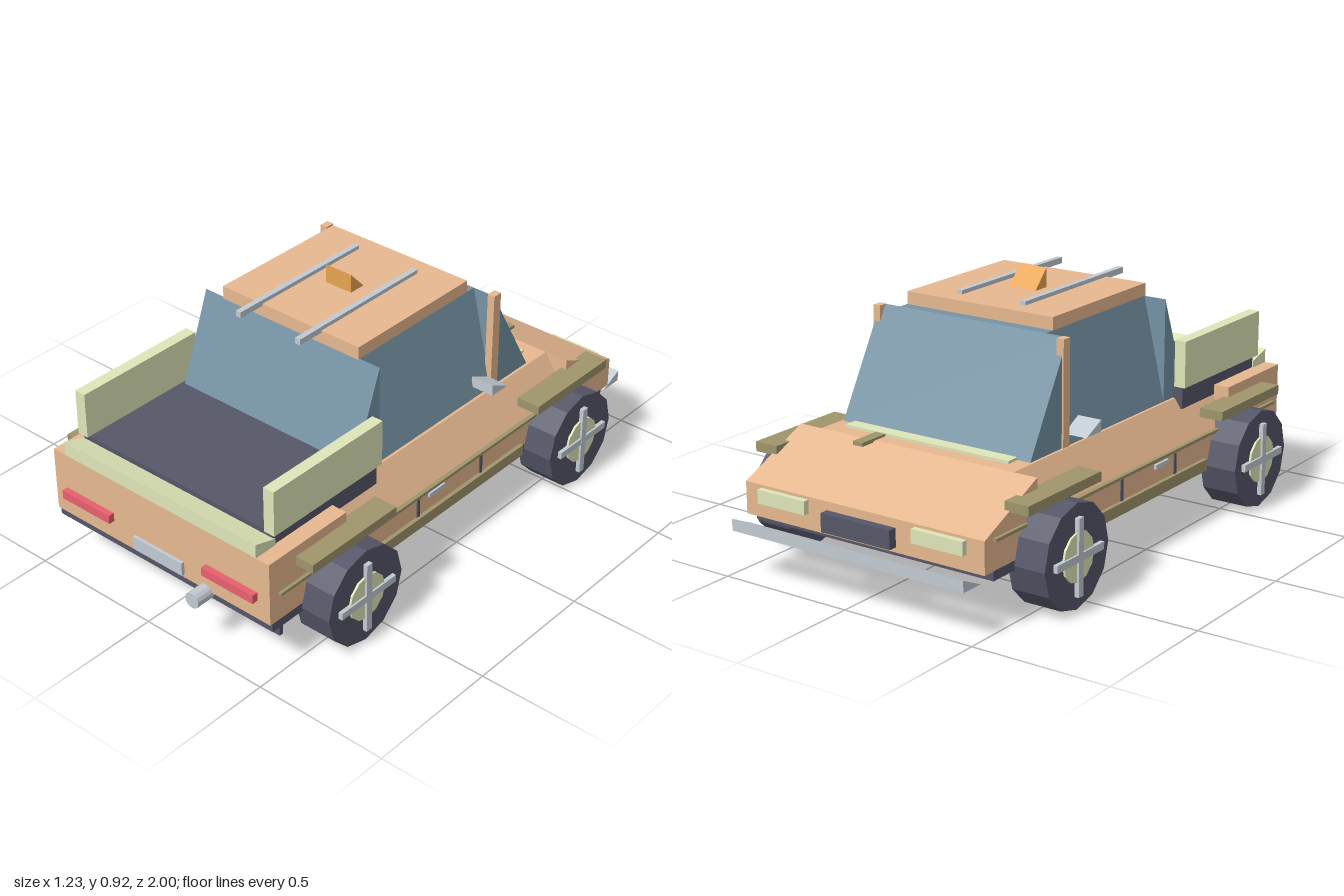
import * as THREE from 'three';

const mat = (color) => new THREE.MeshStandardMaterial({ color, flatShading: true });

export function createModel() {
  const model = new THREE.Group();
  const paint = mat(0xe6b890), glass = mat(0x7592a4), dark = mat(0x555768), olive = mat(0x9f946c);
  const pale = mat(0xdfe6b8), chrome = mat(0xc2cad2), red = mat(0xe8606e), orange = mat(0xe8a452);

  const add = (name, geometry, material) => {
    const mesh = new THREE.Mesh(geometry, material);
    mesh.name = name;
    model.add(mesh);
    return mesh;
  };
  // Box given by its limits on each axis
  const box = (name, material, x0, x1, y0, y1, z0, z1) => {
    const g = new THREE.BoxGeometry(x1 - x0, y1 - y0, z1 - z0);
    g.translate((x0 + x1) / 2, (y0 + y1) / 2, (z0 + z1) / 2);
    return add(name, g, material);
  };
  const extrude = (points, depth) => new THREE.ExtrudeGeometry(
    new THREE.Shape(points.map(([a, b]) => new THREE.Vector2(a, b))), { depth, bevelEnabled: false });
  // Side profile of [z, y] points, spanning x0 to x1
  const across = (name, material, x0, x1, points) =>
    add(name, extrude(points, x1 - x0).rotateY(-Math.PI / 2).translate(x1, 0, 0), material);
  // Cross-section of [x, y] points, spanning z0 to z1
  const along = (name, material, z0, z1, points) =>
    add(name, extrude(points, z1 - z0).translate(0, 0, z0), material);
  // Box on both sides, limits given for the left one
  const pair = (name, material, x0, x1, ...rest) => {
    box(name + 'Left', material, x0, x1, ...rest);
    box(name + 'Right', material, -x1, -x0, ...rest);
  };

  // Lower body, tapered shoulders, rear quarters and sloped hood
  box('chassis', dark, -0.485, 0.485, 0.165, 0.198, -0.865, 0.92);
  box('lowerBody', paint, -0.485, 0.485, 0.197, 0.3, -0.91, 0.93);
  along('shoulders', paint, -0.63, 0.565, [[-0.485, 0.3], [0.485, 0.3], [0.395, 0.435], [-0.395, 0.435]]);
  box('rearBody', paint, -0.485, 0.485, 0.3, 0.435, 0.565, 0.93);
  across('hood', paint, -0.485, 0.485, [[-0.91, 0.3], [-0.63, 0.3], [-0.63, 0.435], [-0.91, 0.31]]);

  // Load bed with side boards and tailgate lip
  box('bed', dark, -0.425, 0.425, 0.4, 0.48, 0.345, 0.845);
  pair('bedRail', pale, 0.397, 0.44, 0.48, 0.648, 0.335, 0.855);
  across('tailgateLip', pale, -0.43, 0.43, [[0.84, 0.435], [0.93, 0.435], [0.93, 0.486], [0.84, 0.46]]);

  // Cab: a core with a sloped pane on every side, under a flat roof
  box('cabCore', glass, -0.3, 0.3, 0.435, 0.803, -0.315, 0.285);
  across('windshield', glass, -0.385, 0.385, [[-0.525, 0.435], [-0.315, 0.435], [-0.315, 0.803]]);
  across('rearWindow', glass, -0.385, 0.385, [[0.285, 0.435], [0.425, 0.435], [0.285, 0.803]]);
  along('sideWindowLeft', glass, -0.315, 0.285, [[0.3, 0.435], [0.385, 0.435], [0.3, 0.803]]);
  along('sideWindowRight', glass, -0.315, 0.285, [[-0.385, 0.435], [-0.3, 0.435], [-0.3, 0.803]]);
  pair('pillar', paint, 0.363, 0.391, 0.435, 0.803, -0.347, -0.31);
  box('roof', paint, -0.3, 0.3, 0.8, 0.848, -0.275, 0.29);
  pair('roofBar', chrome, 0.12, 0.141, 0.84, 0.862, -0.205, 0.395);
  across('beacon', orange, -0.055, 0.055, [[-0.025, 0.845], [0.043, 0.845], [0.043, 0.917]]);

  // Hood details
  box('cowl', pale, -0.335, 0.335, 0.43, 0.445, -0.575, -0.525);
  box('hoodIntake', olive, 0.165, 0.205, 0.43, 0.443, -0.695, -0.57);

  // Side trim, doors and mirrors
  pair('sill', olive, 0.47, 0.5, 0.173, 0.215, -0.37, 0.4);
  pair('beltTrim', olive, 0.475, 0.497, 0.295, 0.306, -0.865, 0.89);
  pair('doorHandle', chrome, 0.475, 0.495, 0.268, 0.284, 0.065, 0.147);
  for (const z of [0.2, -0.14]) pair('doorSeam', dark, 0.47, 0.49, 0.21, 0.297, z - 0.006, z + 0.006);
  const mirror = [[-0.315, 0.475], [-0.228, 0.475], [-0.228, 0.516]];
  across('mirrorLeft', chrome, 0.37, 0.46, mirror);
  across('mirrorRight', chrome, -0.46, -0.37, mirror);

  // Nose end
  pair('headlight', pale, 0.217, 0.417, 0.252, 0.3, -0.932, -0.9);
  box('grille', dark, -0.14, 0.14, 0.215, 0.28, -0.942, -0.9);
  across('bumper', chrome, -0.47, 0.47, [[-1, 0.167], [-0.91, 0.167], [-1, 0.208]]);

  // Tail end
  pair('tailLight', red, 0.21, 0.432, 0.27, 0.302, 0.92, 0.953);
  box('plate', chrome, -0.112, 0.11, 0.21, 0.26, 0.92, 0.942);
  pair('mudFlap', dark, 0.295, 0.443, 0.08, 0.167, 0.827, 0.843);
  add('exhaust', new THREE.CylinderGeometry(0.029, 0.029, 0.11, 14).rotateX(Math.PI / 2)
    .translate(0.204, 0.19, 0.94), chrome);

  // Wheels with hubs and crossed spokes, and the flares above them
  const tyre = new THREE.CylinderGeometry(0.18, 0.18, 0.14, 12).rotateZ(Math.PI / 2);
  const hub = new THREE.CylinderGeometry(0.086, 0.086, 0.02, 12).rotateZ(Math.PI / 2);
  const spokeUp = new THREE.BoxGeometry(0.02, 0.266, 0.026);
  const spokeAlong = new THREE.BoxGeometry(0.02, 0.026, 0.266);
  for (const z of [0.603, -0.575]) {
    const end = z > 0 ? 'rear' : 'front';
    pair(end + 'Flare', olive, 0.465, 0.556, 0.364, 0.398, z - 0.203, z + 0.203);
    for (const side of [1, -1]) {
      const wheel = new THREE.Group();
      wheel.name = end + 'Wheel' + (side > 0 ? 'Left' : 'Right');
      const part = (name, geometry, material, x) => {
        const mesh = new THREE.Mesh(geometry, material);
        mesh.name = name;
        mesh.position.x = x * side;
        wheel.add(mesh);
      };
      part('tyre', tyre, dark, 0);
      part('hub', hub, pale, 0.068);
      part('spokeUp', spokeUp, chrome, 0.076);
      part('spokeAlong', spokeAlong, chrome, 0.075);
      wheel.position.set(0.53 * side, 0.18, z);
      model.add(wheel);
    }
  }
  return model;
}
